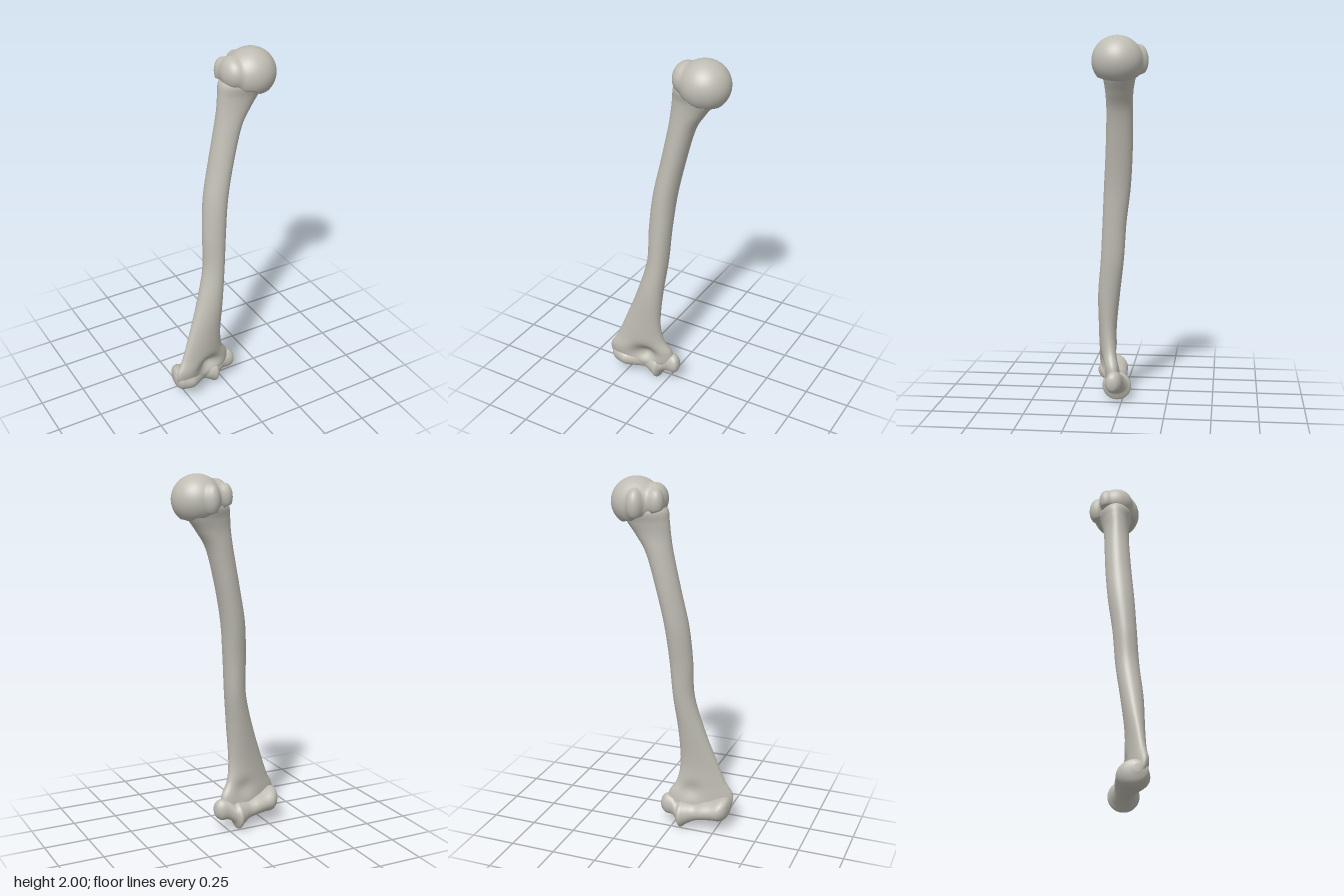
import * as THREE from 'three';
import { mergeVertices } from 'three/addons/utils/BufferGeometryUtils.js';

const bone = new THREE.MeshStandardMaterial({ color: 0xbfbdb3 });
bone.name = 'bone grey';

// Catmull-Rom interpolation of every component of a list of sections
function sample(sections, t) {
  const n = sections.length - 1;
  const i = Math.min(Math.floor(t * n), n - 1);
  const f = t * n - i;
  const [a, b, c, d] = [Math.max(i - 1, 0), i, i + 1, Math.min(i + 2, n)].map((k) => sections[k]);
  return b.map((_, k) => b[k] + 0.5 * f * (c[k] - a[k]
    + f * (2 * a[k] - 5 * b[k] + 4 * c[k] - d[k] + f * (3 * (b[k] - c[k]) + d[k] - a[k]))));
}

// Smooth closed skin over interpolated sections; pointAt(section, angle) gives [x, y, z]
function loft(sections, rings, sides, pointAt) {
  const pos = [], index = [];
  const mid = [new THREE.Vector3(), new THREE.Vector3()];
  for (let i = 0; i <= rings; i++) {
    const s = sample(sections, i / rings);
    for (let j = 0; j < sides; j++) {
      const p = pointAt(s, (j / sides) * Math.PI * 2);
      pos.push(...p);
      if (i === 0) mid[0].add(new THREE.Vector3(...p).divideScalar(sides));
      if (i === rings) mid[1].add(new THREE.Vector3(...p).divideScalar(sides));
      if (i < rings) {
        const a = i * sides + j, b = i * sides + (j + 1) % sides;
        index.push(a, a + sides, b, b, a + sides, b + sides);
      }
    }
  }
  // end caps
  const first = pos.length / 3, top = rings * sides;
  mid.forEach((m) => pos.push(m.x, m.y, m.z));
  for (let j = 0; j < sides; j++) {
    const k = (j + 1) % sides;
    index.push(first, j, k, first + 1, top + k, top + j);
  }
  const g = new THREE.BufferGeometry();
  g.setAttribute('position', new THREE.Float32BufferAttribute(pos, 3));
  g.setIndex(index);
  g.computeVertexNormals();
  return g;
}

const bump = (x, y, cx, cy, rx, ry) => Math.exp(-(((x - cx) / rx) ** 2) - ((y - cy) / ry) ** 2);

// Shaft sections: y, left x, right x, centre z, half depth, yaw slope
const SHAFT = [
  [0.08, -0.24, -0.02, 0.06, 0.03, -0.15],
  [0.13, -0.31, 0.035, 0.075, 0.05, -0.2],
  [0.2, -0.32, 0.035, 0.085, 0.055, -0.22],
  [0.28, -0.28, -0.01, 0.088, 0.05, -0.18],
  [0.4, -0.235, -0.027, 0.088, 0.05, -0.1],
  [0.6, -0.165, -0.015, 0.075, 0.06, 0],
  [0.8, -0.113, 0.005, 0.053, 0.063, 0],
  [1.0, -0.107, 0.02, 0.04, 0.065, 0],
  [1.2, -0.09, 0.04, 0.022, 0.072, 0],
  [1.4, -0.05, 0.08, 0.008, 0.072, 0],
  [1.6, -0.01, 0.135, 0, 0.07, 0],
  [1.7, 0.005, 0.195, -0.002, 0.072, 0],
  [1.77, 0.012, 0.245, -0.005, 0.082, 0],
  [1.83, 0.02, 0.27, -0.005, 0.098, 0],
  [1.87, 0.05, 0.25, 0, 0.08, 0],
];

function shaftPoint([y, l, r, zc, hz, yaw], a) {
  const ridge = 1 + 0.035 * Math.cos(3 * (a - Math.PI));
  const dx = ((r - l) / 2) * Math.cos(a) * ridge;
  const x = (l + r) / 2 + dx;
  let z = zc + hz * Math.sin(a) * ridge + yaw * dx;
  // deep hollow in front and a shallow one behind, above the joint
  if (Math.sin(a) > 0) z -= 0.065 * Math.sin(a) * bump(x, y, -0.115, 0.18, 0.07, 0.055);
  else z -= 0.018 * Math.sin(a) * bump(x, y, -0.1, 0.23, 0.06, 0.05);
  return [x, y, z];
}

// Joint sections along x: x, centre y, centre z, half height, half depth
const JOINT = [
  [-0.327, 0.15, 0.09, 0.02, 0.015],
  [-0.312, 0.14, 0.08, 0.055, 0.06],
  [-0.28, 0.13, 0.07, 0.068, 0.08],
  [-0.23, 0.12, 0.07, 0.06, 0.084],
  [-0.18, 0.112, 0.055, 0.055, 0.072],
  [-0.13, 0.1, 0.04, 0.052, 0.055],
  [-0.085, 0.09, 0.035, 0.068, 0.07],
  [-0.055, 0.082, 0.03, 0.08, 0.08],
  [-0.033, 0.1, 0.03, 0.056, 0.06],
  [0, 0.122, 0.035, 0.058, 0.045],
  [0.04, 0.125, 0.04, 0.06, 0.042],
  [0.066, 0.125, 0.045, 0.04, 0.03],
  [0.075, 0.125, 0.045, 0.01, 0.008],
];
const jointPoint = ([x, yc, zc, ry, rz], a) => [x, yc + ry * Math.cos(a), zc - rz * Math.sin(a)];

// Upper end: centre and radii of each rounded mass, melted together
const HEAD = [
  [0.19, 1.867, 0, 0.134, 0.13, 0.132], // ball
  [0.085, 1.885, 0, 0.065, 0.085, 0.09], // large tubercle
  [0.06, 1.88, -0.06, 0.04, 0.07, 0.042],
  [0.157, 1.87, -0.11, 0.043, 0.08, 0.048], // small tubercle
];

function headGeometry() {
  let g = new THREE.SphereGeometry(1, 72, 48);
  g.deleteAttribute('uv');
  g.deleteAttribute('normal');
  g = mergeVertices(g);
  const origin = new THREE.Vector3(0.15, 1.88, -0.02);
  const p = g.attributes.position, dir = new THREE.Vector3(), v = new THREE.Vector3();
  const inside = () => HEAD.reduce((sum, [x, y, z, a, b, c]) =>
    sum + Math.exp(18 * (1 - Math.hypot((v.x - x) / a, (v.y - y) / b, (v.z - z) / c))), 0) > 1;
  for (let i = 0; i < p.count; i++) {
    dir.fromBufferAttribute(p, i);
    let lo = 0, hi = 0.4;
    for (let k = 0; k < 24; k++) {
      const m = (lo + hi) / 2;
      v.copy(origin).addScaledVector(dir, m);
      if (inside()) lo = m; else hi = m;
    }
    v.copy(origin).addScaledVector(dir, lo);
    // flattened, slightly wavy underside along the growth seam
    const seam = 1.845 - 0.32 * (v.x - 0.02) + 0.006 * Math.sin(v.x * 75 + v.z * 30);
    if (v.y < seam) v.y = seam + 0.3 * (v.y - seam);
    p.setXYZ(i, v.x, Math.min(v.y, 2), v.z);
  }
  g.computeVertexNormals();
  return g;
}

export function createModel() {
  const model = new THREE.Group();
  model.name = 'armBone';
  const parts = {
    shaft: loft(SHAFT, 140, 56, shaftPoint),
    elbowJoint: loft(JOINT, 72, 40, jointPoint),
    shoulderHead: headGeometry(),
  };
  for (const [name, geometry] of Object.entries(parts)) {
    const mesh = new THREE.Mesh(geometry, bone);
    mesh.name = name;
    model.add(mesh);
  }
  return model;
}
